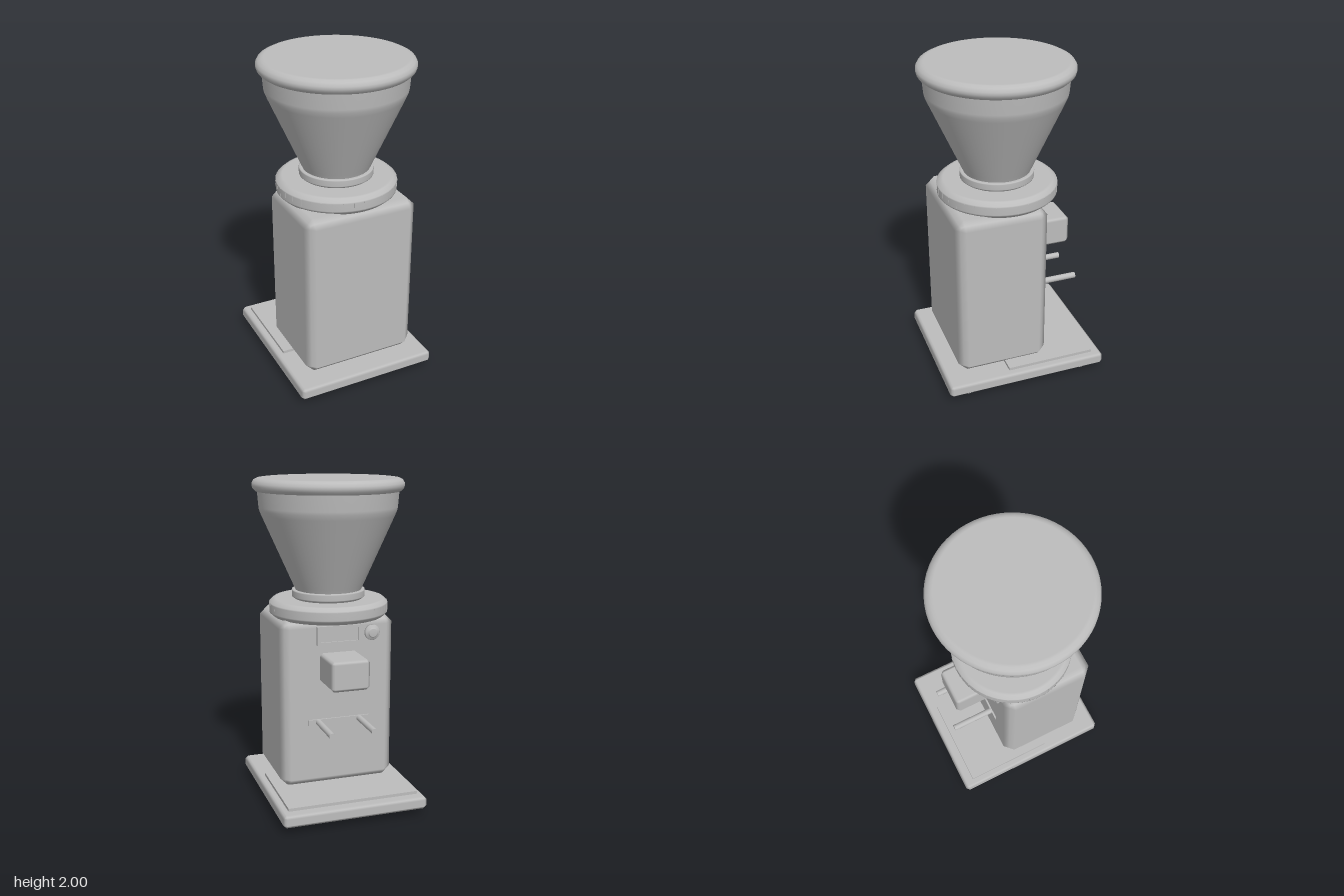
import * as THREE from 'three';
import { RoundedBoxGeometry } from 'three/addons/geometries/RoundedBoxGeometry.js';

const AXIS_Z = 0.05; // hopper and collar axis

export function createModel() {
  const model = new THREE.Group();
  model.name = 'coffeeGrinder';
  const grey = new THREE.MeshStandardMaterial({ color: 0xbcbcbc });
  grey.name = 'grey';

  const add = (name, geometry, x = 0, y = 0, z = 0, parent = model) => {
    const mesh = new THREE.Mesh(geometry, grey);
    mesh.name = name;
    mesh.position.set(x, y, z);
    parent.add(mesh);
    return mesh;
  };

  // Box with softly shaded chamfers: rounded edges pressed flat
  const chamferBox = (w, h, d, r) => {
    const g = new RoundedBoxGeometry(w, h, d, 1, r);
    const p = g.attributes.position, n = g.attributes.normal;
    for (let i = 0; i < p.count; i++) {
      const a = [n.getX(i), n.getY(i), n.getZ(i)];
      const k = r * (1 / (Math.abs(a[0]) + Math.abs(a[1]) + Math.abs(a[2])) - 1);
      p.setXYZ(i, p.getX(i) + a[0] * k, p.getY(i) + a[1] * k, p.getZ(i) + a[2] * k);
    }
    return g;
  };

  // Turned part from [radius, height] pairs, bottom to top
  const lathe = (points, sides = 64) =>
    new THREE.LatheGeometry(points.map(([r, y]) => new THREE.Vector2(r, y)), sides);

  // Base, tray and feet
  add('base', chamferBox(0.9, 0.08, 1.02, 0.02), 0, 0.08, 0);
  add('tray', new THREE.BoxGeometry(0.81, 0.025, 0.56), 0, 0.1255, -0.165);
  const footProfile = [[0, 0], [0.038, 0], [0.05, 0.01], [0.05, 0.045], [0, 0.045]];
  for (const x of [-0.35, 0.35])
    for (const z of [-0.375, 0.375]) add('foot', lathe(footProfile, 24), x, 0, z);

  // Body
  add('body', chamferBox(0.72, 1.06, 0.57, 0.055), 0, 0.655, 0.13);

  // Adjustment collar with scale marks
  const collar = new THREE.Group();
  collar.name = 'collar';
  collar.position.z = AXIS_Z;
  model.add(collar);
  add('collarRing', lathe([[0, 1.17], [0.325, 1.17], [0.34, 1.171], [0.363, 1.192], [0.364, 1.2],
    [0.364, 1.246], [0.363, 1.254], [0.34, 1.274], [0.325, 1.275], [0, 1.275]]), 0, 0, 0, collar);
  const marks = 36;
  for (let i = 0; i < marks; i++) {
    const a = (i / marks) * Math.PI * 2;
    const long = i % 3 === 0;
    const mark = add('scaleMark', new THREE.BoxGeometry(0.005, long ? 0.05 : 0.03, 0.004),
      Math.sin(a) * 0.364, long ? 1.223 : 1.233, Math.cos(a) * 0.364, collar);
    mark.rotation.y = a;
  }

  // Neck, hopper and lid
  add('neck', lathe([[0.2, 1.27], [0.21, 1.27], [0.21, 1.285], [0.223, 1.285], [0.224, 1.29],
    [0.224, 1.322], [0.223, 1.328], [0.215, 1.329], [0.19, 1.329]]), 0, 0, AXIS_Z);
  add('hopper', lathe([[0, 1.32], [0.2, 1.32], [0.203, 1.33], [0.214, 1.354], [0.403, 1.78],
    [0.415, 1.81], [0.418, 1.83], [0.426, 1.93]]), 0, 0, AXIS_Z);
  add('lid', lathe([[0, 1.921], [0.42, 1.921], [0.435, 1.922], [0.452, 1.938], [0.457, 1.955],
    [0.456, 1.97], [0.445, 1.988], [0.425, 1.998], [0.41, 2], [0, 2]]), 0, 0, AXIS_Z);

  // Rear display: a frame around a sunken screen
  const outline = (w, h) => [[-w, -h], [w, -h], [w, h], [-w, h]].map(([x, y]) => new THREE.Vector2(x, y));
  const frame = new THREE.Shape(outline(0.14, 0.057));
  frame.holes.push(new THREE.Path(outline(0.118, 0.04)));
  add('displayFrame', new THREE.ExtrudeGeometry(frame, { depth: 0.02, bevelEnabled: false }), 0, 1.083, -0.172);
  add('displayScreen', new THREE.BoxGeometry(0.236, 0.08, 0.008), 0, 1.083, -0.158);

  // Rear knob
  const knob = add('knob', lathe([[0, 0], [0.048, 0], [0.048, 0.014], [0.044, 0.02], [0.03, 0.022],
    [0.028, 0.028], [0.024, 0.031], [0, 0.031]], 32), -0.21, 1.083, -0.154);
  knob.rotation.x = -Math.PI / 2;

  // Rear dispensing spout
  add('spout', chamferBox(0.24, 0.185, 0.27, 0.02), 0, 0.8825, -0.25);

  // Rear holder fork: mounting strip and two rods
  add('forkMount', new THREE.BoxGeometry(0.39, 0.034, 0.02), 0, 0.545, -0.155);
  for (const x of [-0.131, 0.131]) {
    const rod = add('forkRod', new THREE.CylinderGeometry(0.019, 0.019, 0.29, 20), x, 0.545, -0.285);
    rod.rotation.x = Math.PI / 2;
  }

  return model;
}
